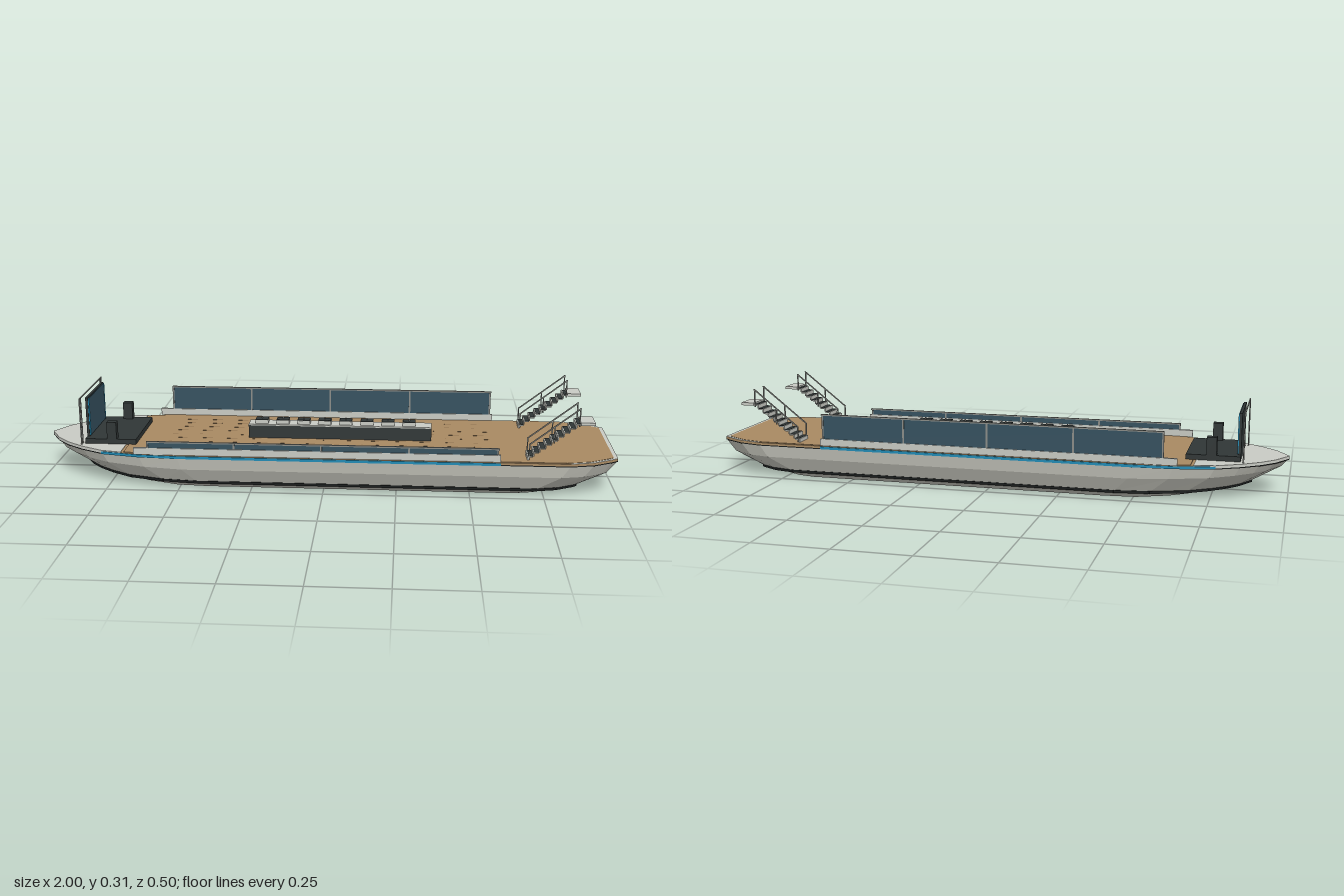
import * as THREE from 'three';

const mat = (name, color, extra = {}) => {
  const m = new THREE.MeshStandardMaterial({ color, ...extra });
  m.name = name;
  return m;
};

export function createModel() {
  const M = {
    hull: mat('hull grey', 0xbfbfb6, { flatShading: true }),
    light: mat('light grey', 0xc8cac3),
    wood: mat('deck wood', 0xa88962),
    seam: mat('deck seam', 0x8a6e4b),
    glass: mat('dark glass', 0x35515f),
    dark: mat('charcoal', 0x303636),
    black: mat('black rubber', 0x181b1b),
    blue: mat('blue trim', 0x1f8ab4),
    metal: mat('rail metal', 0x8b8d88),
  };
  const model = new THREE.Group();
  model.name = 'riverBoat';

  const group = (name) => {
    const g = new THREE.Group();
    g.name = name;
    model.add(g);
    return g;
  };
  const add = (parent, name, geometry, material) => {
    const mesh = new THREE.Mesh(geometry, material);
    mesh.name = name;
    parent.add(mesh);
    return mesh;
  };
  // box from its lower and upper limits
  const box = (parent, name, material, x0, x1, y0, y1, z0, z1) => {
    const m = add(parent, name, new THREE.BoxGeometry(x1 - x0, y1 - y0, z1 - z0), material);
    m.position.set((x0 + x1) / 2, (y0 + y1) / 2, (z0 + z1) / 2);
    return m;
  };
  // straight bar between two points
  const bar = (parent, name, material, a, b, w = 0.004, h = w) => {
    const A = new THREE.Vector3(...a), B = new THREE.Vector3(...b);
    const m = add(parent, name, new THREE.BoxGeometry(w, h, A.distanceTo(B)), material);
    m.position.copy(A).lerp(B, 0.5);
    m.lookAt(B);
    return m;
  };

  // half outline of the deck, bow to stern: [x, half width]
  const outline = [[-1, 0], [-0.957, 0.075], [-0.91, 0.125], [-0.85, 0.17], [-0.77, 0.213],
    [-0.7, 0.227], [-0.636, 0.24], [-0.5, 0.249], [0.835, 0.249], [0.915, 0.23], [0.98, 0.193], [1, 0.178]];

  // hull rings: the outline squeezed to a length and width, rising at the bow
  const ring = (y, bow, stern, half, lift) => outline.map(([x, z]) => {
    const nx = x < 0 ? -x * bow : x * stern;
    const rise = lift * THREE.MathUtils.clamp((-0.5 - nx) / (-0.5 - bow), 0, 1);
    return [nx, y + rise, z / 0.249 * half];
  });
  const rings = [
    ring(0, -0.8, 0.78, 0.195, 0.018),
    ring(0.023, -0.875, 0.865, 0.218, 0.013),
    ring(0.075, -0.975, 0.965, 0.243, 0.018),
    ring(0.116, -0.997, 0.997, 0.248, 0.004),
  ];
  const pos = [];
  const quad = (a, b, c, d) => pos.push(...a, ...b, ...c, ...a, ...c, ...d);
  const mir = ([x, y, z]) => [x, y, -z];
  const n = outline.length;
  for (let r = 0; r < rings.length - 1; r++) {
    const lo = rings[r], up = rings[r + 1];
    for (let i = 0; i < n - 1; i++) {
      quad(lo[i], lo[i + 1], up[i + 1], up[i]);
      quad(mir(lo[i + 1]), mir(lo[i]), mir(up[i]), mir(up[i + 1]));
    }
    quad(lo[n - 1], mir(lo[n - 1]), mir(up[n - 1]), up[n - 1]);
  }
  for (let i = 0; i < n - 1; i++) {
    const b = rings[0];
    quad(b[i], mir(b[i]), mir(b[i + 1]), b[i + 1]);
  }
  const hullGeo = new THREE.BufferGeometry();
  hullGeo.setAttribute('position', new THREE.Float32BufferAttribute(pos, 3));
  hullGeo.computeVertexNormals();
  add(model, 'hull', hullGeo, M.hull);

  // rubber belt around the lower hull
  const belt = group('rubberBelt');
  const beltRing = rings[1];
  for (let i = 0; i < n - 1; i++) {
    const a = beltRing[i], b = beltRing[i + 1];
    bar(belt, 'beltSegment', M.black, a, b, 0.009, 0.009);
    bar(belt, 'beltSegment', M.black, mir(a), mir(b), 0.009, 0.009);
  }
  bar(belt, 'sternBelt', M.black, beltRing[n - 1], mir(beltRing[n - 1]), 0.009, 0.009);

  // deck layers cut from the outline
  const slab = (name, material, pts, y, h, s = 1) => {
    const right = pts.map(([x, z]) => new THREE.Vector2(x * s, -z * (s < 1 ? s - 0.01 : 1)));
    const left = right.map((p) => new THREE.Vector2(p.x, -p.y)).reverse();
    const g = new THREE.ExtrudeGeometry(new THREE.Shape([...right, ...left]), { depth: h, bevelEnabled: false });
    add(model, name, g.rotateX(-Math.PI / 2), material).position.y = y;
  };
  slab('gunwaleLine', M.black, outline, 0.1155, 0.0035);
  slab('bowDeck', M.light, outline.slice(0, 6), 0.119, 0.0095);
  slab('deckEdge', M.wood, outline.slice(5), 0.119, 0.0075);
  slab('sternRim', M.light, outline.slice(8), 0.1265, 0.001);
  slab('woodDeck', M.wood, outline.slice(5), 0.1265, 0.002, 0.986);
  const seams = group('deckSeams');
  for (let i = -4; i <= 4; i++) {
    const z = i * 0.045;
    for (let j = 0; j < 12; j++)
      box(seams, 'seam', M.seam, -0.56 + j * 0.098, -0.5 + j * 0.098, 0.128, 0.1288, z - 0.0008, z + 0.0008);
  }

  // sides: blue stripe, kerb and glass screen, tall on the right and low on the left
  for (const [s, top] of [[1, 0.175], [-1, 0.24]]) {
    const side = group(s > 0 ? 'leftSide' : 'rightSide');
    const run = [...outline.slice(4, 8), [0.6, 0.249]];
    for (let i = 0; i < run.length - 1; i++)
      bar(side, 'blueStripe', M.blue, [run[i][0], 0.1205, s * run[i][1]],
        [run[i + 1][0], 0.1205, s * run[i + 1][1]], 0.006, 0.009);
    const zb = (name, m, x0, x1, y0, y1, half) =>
      box(side, name, m, x0, x1, y0, y1, s * 0.243 - half, s * 0.243 + half);
    zb('kerb', M.light, -0.65, 0.6, 0.128, 0.152, 0.005);
    zb('glassScreen', M.glass, -0.6, 0.59, 0.152, top - 0.003, 0.0015);
    zb('topRail', M.metal, -0.605, 0.595, top - 0.005, top, 0.0035);
    for (let i = 0; i <= 4; i++) {
      const x = -0.602 + i * 0.298;
      zb('screenPost', M.metal, x - 0.003, x + 0.003, 0.15, top, 0.003);
    }
  }

  // central console with a row of stations
  const con = group('centralConsole');
  box(con, 'consoleBody', M.dark, -0.28, 0.37, 0.128, 0.174, -0.03, 0.03);
  box(con, 'consoleTop', M.light, -0.28, 0.37, 0.174, 0.178, -0.03, 0.03);
  for (let i = 0; i < 8; i++) {
    const x = -0.234 + i * 0.075;
    box(con, 'stationBody', M.light, x - 0.023, x + 0.023, 0.178, 0.191, -0.019, 0.019);
    box(con, 'stationTop', M.dark, x - 0.022, x + 0.022, 0.191, 0.193, -0.018, 0.018);
    box(con, 'stationTap', M.metal, x - 0.002, x + 0.002, 0.193, 0.2, -0.002, 0.002);
  }

  // bow stage with screen, speakers and truss
  const stage = group('bowStage');
  box(stage, 'platform', M.dark, -0.845, -0.665, 0.128, 0.146, -0.138, 0.138);
  box(stage, 'screenBack', M.dark, -0.845, -0.836, 0.146, 0.287, -0.11, 0.11);
  box(stage, 'screenFace', M.glass, -0.836, -0.833, 0.149, 0.284, -0.107, 0.107);
  const tx = -0.855;
  for (const s of [1, -1]) {
    box(stage, 'screenTrim', M.blue, -0.836, -0.832, 0.149, 0.284, s * 0.105 - 0.0025, s * 0.105 + 0.0025);
    box(stage, 'speaker', M.dark, -0.767, -0.733, 0.146, 0.207, s * 0.126 - 0.014, s * 0.126 + 0.014);
    for (const z of [0.135, 0.151])
      bar(stage, 'trussPost', M.metal, [tx, 0.125, s * z], [tx, 0.293, s * z]);
    for (let i = 0; i < 6; i++) {
      const y = 0.13 + i * 0.027, [a, b] = i % 2 ? [0.151, 0.135] : [0.135, 0.151];
      bar(stage, 'trussBrace', M.metal, [tx, y, s * a], [tx, y + 0.027, s * b], 0.0025);
    }
  }
  bar(stage, 'trussBeam', M.metal, [tx, 0.293, -0.153], [tx, 0.293, 0.153]);

  // pair of stern stairs with landings and handrails
  const steps = 9, x0 = 0.69, run = 0.0195, y0 = 0.128, rise = 0.0145;
  for (const s of [1, -1]) {
    const st = group(s > 0 ? 'leftStairs' : 'rightStairs');
    const zc = s * 0.184, hw = 0.035;
    for (let i = 0; i < steps; i++) {
      const x = x0 + i * run, y = y0 + i * rise;
      box(st, 'riser', M.light, x, x + 0.004, y, y + rise - 0.001, zc - hw, zc + hw);
      box(st, 'tread', M.light, x, x + run, y + rise - 0.005, y + rise - 0.001, zc - hw, zc + hw);
      box(st, 'treadGrip', M.dark, x + 0.004, x + run, y + rise - 0.001, y + rise, zc - hw, zc + hw);
    }
    box(st, 'landing', M.light, 0.862, 0.91, 0.254, 0.264, zc - 0.039, zc + 0.039);
    for (const e of [-1, 1]) {
      const z = zc + e * 0.036;
      bar(st, 'handrail', M.metal, [0.694, 0.183, z], [0.86, 0.313, z]);
      for (const [x, lo, hi] of [[0.696, 0.13, 0.184], [0.777, 0.19, 0.248], [0.858, 0.25, 0.314]])
        bar(st, 'railPost', M.metal, [x, lo, z], [x, hi, z]);
    }
  }
  return model;
}
